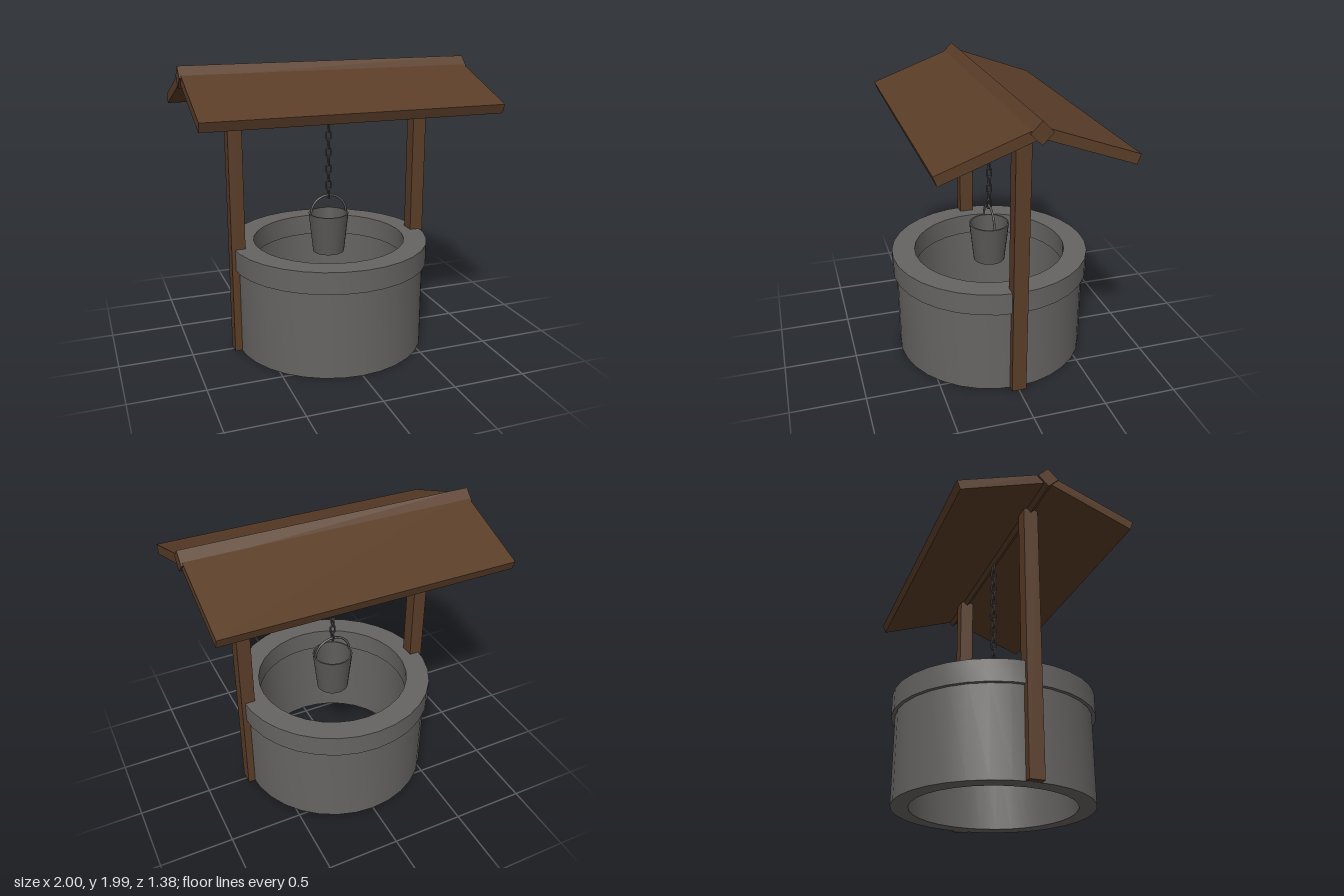
import * as THREE from 'three';
import { toCreasedNormals } from 'three/addons/utils/BufferGeometryUtils.js';

const material = (name, color) => {
  const m = new THREE.MeshStandardMaterial({ color });
  m.name = name;
  return m;
};

export function createModel() {
  const stone = material('stone', 0x666462);
  const wood = material('wood', 0x5a3d28);
  const metal = material('metal', 0x5a5958);
  const iron = material('chain iron', 0x4a4a4e);

  const model = new THREE.Group();
  model.name = 'well';

  const add = (name, geometry, mat, parent = model) => {
    const mesh = new THREE.Mesh(geometry, mat);
    mesh.name = name;
    parent.add(mesh);
    return mesh;
  };
  // Turned part with sharp profile corners and smooth sides
  const turned = (points) => toCreasedNormals(
    new THREE.LatheGeometry(points.map(([r, y]) => new THREE.Vector2(r, y)), 32), Math.PI / 6);
  const ring = (inner, outer, y0, y1) => turned(
    [[outer, y0], [outer, y1], [inner, y1], [inner, y0], [outer, y0]]);

  // Stone shaft, open at both ends, with a wider rim
  add('wall', ring(0.55, 0.665, 0, 0.6), stone);
  add('rim', ring(0.53, 0.69, 0.6, 0.75), stone);

  // Posts, and roof panels leaning on a ridge beam turned on its edge
  const slope = THREE.MathUtils.degToRad(20);
  const length = 0.644, thickness = 0.065;
  for (const side of [1, -1]) {
    add(side > 0 ? 'leftPost' : 'rightPost', new THREE.BoxGeometry(0.095, 1.898, 0.1), wood)
      .position.set(side * 0.6625, 0.951, 0);

    const panel = add(side > 0 ? 'frontRoofPanel' : 'backRoofPanel',
      new THREE.BoxGeometry(1.976, thickness, length), wood);
    panel.rotation.x = side * slope;
    panel.position.set(0,
      1.95 - Math.sin(slope) * length / 2 - Math.cos(slope) * thickness / 2,
      side * (Math.cos(slope) * length / 2 - Math.sin(slope) * thickness / 2));
  }
  const beam = add('ridgeBeam', new THREE.BoxGeometry(2, 0.099, 0.099), wood);
  beam.rotation.x = Math.PI / 4;
  beam.position.y = 1.915;

  // Hollow tapered bucket and its bail handle
  const bucket = new THREE.Group();
  bucket.name = 'bucket';
  model.add(bucket);
  add('bucketBody', turned([[0, 0.65], [0.11, 0.65], [0.14, 0.93], [0.13, 0.93],
    [0.101, 0.66], [0, 0.66]]), metal, bucket);
  add('bucketHandle', new THREE.TorusGeometry(0.13, 0.008, 8, 32, Math.PI), metal, bucket)
    .position.y = 0.928;

  // Chain of long links, each turned a quarter from the last
  const chain = new THREE.Group();
  chain.name = 'chain';
  model.add(chain);
  const r = 0.0155, h = 0.0175;
  const path = [];
  for (let i = 0; i < 16; i++) {
    const a = (i + 0.5) / 16 * Math.PI * 2;
    path.push(new THREE.Vector3(Math.cos(a) * r, Math.sin(a) * r + Math.sign(Math.sin(a)) * h, 0));
  }
  const link = new THREE.TubeGeometry(new THREE.CatmullRomCurve3(path, true), 32, 0.006, 6, true);
  for (let i = 0; i < 14; i++) {
    const mesh = add('chainLink', link, iron, chain);
    mesh.position.y = 1.072 + i * 0.0583;
    mesh.rotation.y = i % 2 ? 0 : Math.PI / 2;
  }
  return model;
}
